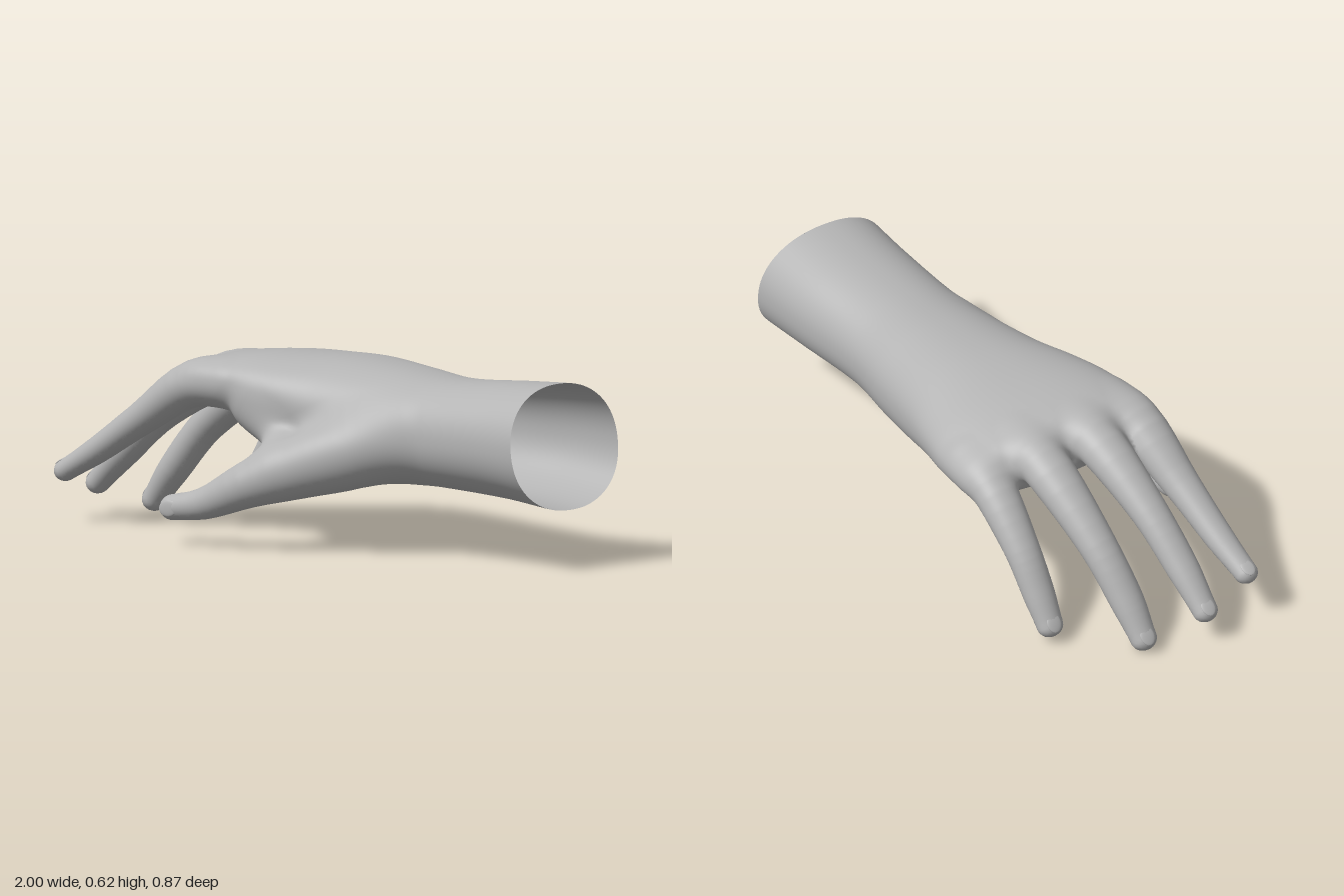
import * as THREE from 'three';

const lerp = THREE.MathUtils.lerp, clamp = THREE.MathUtils.clamp;

// Arm and palm cross-sections: x, centre y, half height, centre z, half width, tilt
const STATIONS = [
  [-0.5, 0.46, 0.085, -0.08, 0.3, 0.14],
  [-0.35, 0.483, 0.11, -0.085, 0.338, 0.13],
  [-0.2, 0.484, 0.13, -0.097, 0.336, 0.11],
  [-0.05, 0.465, 0.154, -0.1, 0.312, 0.07],
  [0.1, 0.435, 0.184, -0.108, 0.28, 0.03],
  [0.3, 0.412, 0.19, -0.115, 0.25, 0.01],
  [0.5, 0.405, 0.18, -0.123, 0.228, 0],
  [0.8, 0.407, 0.193, -0.15, 0.235, 0],
  [1.0, 0.404, 0.207, -0.16, 0.242, 0],
];

// Limbs from root to tip: x, y, z, radius. Width stretches the section sideways.
const LIMBS = [
  { name: 'thumb', blend: 0.07, width: 1, nailSide: [0, -1, 0], joints: [
    [0.42, 0.4, 0.0, 0.1], [0.26, 0.342, 0.095, 0.122], [0.12, 0.288, 0.2, 0.106],
    [-0.03, 0.222, 0.306, 0.078], [-0.19, 0.146, 0.36, 0.053], [-0.312, 0.123, 0.388, 0.043]] },
  { name: 'thumbWeb', blend: 0.06, width: 1, joints: [
    [0.03, 0.275, 0.24, 0.065], [-0.04, 0.36, 0.165, 0.06], [-0.16, 0.44, 0.15, 0.075]] },
  { name: 'indexFinger', blend: 0.035, width: 1.14, nailSide: [0, 0, 1], joints: [
    [-0.28, 0.51, 0.165, 0.07], [-0.41, 0.505, 0.192, 0.076], [-0.62, 0.37, 0.235, 0.055],
    [-0.8, 0.247, 0.27, 0.044], [-0.922, 0.172, 0.295, 0.036]] },
  { name: 'middleFinger', blend: 0.035, width: 1.14, nailSide: [0, 0, 1], joints: [
    [-0.28, 0.52, 0.0, 0.06], [-0.42, 0.52, 0.02, 0.074], [-0.69, 0.368, 0.065, 0.056],
    [-0.85, 0.22, 0.097, 0.049], [-0.958, 0.111, 0.114, 0.038]] },
  { name: 'ringFinger', blend: 0.035, width: 1.14, nailSide: [0, 0, 1], joints: [
    [-0.28, 0.51, -0.185, 0.065], [-0.42, 0.495, -0.178, 0.074], [-0.69, 0.31, -0.135, 0.057],
    [-0.82, 0.15, -0.102, 0.051], [-0.9, 0.041, -0.088, 0.04]] },
  { name: 'littleFinger', blend: 0.035, width: 1.14, nailSide: [0, 0, 1], joints: [
    [-0.24, 0.465, -0.345, 0.06], [-0.37, 0.435, -0.345, 0.066], [-0.55, 0.282, -0.338, 0.053],
    [-0.635, 0.155, -0.328, 0.048], [-0.695, 0.06, -0.322, 0.04]] },
];

// Smooth minimum: joins two shapes with a soft fillet of size k
function smin(a, b, k) {
  const h = Math.max(k - Math.abs(a - b), 0) / k;
  return Math.min(a, b) - h * h * k * 0.25;
}

// Smooth interpolation of the stations along x
function sectionAt(x) {
  const S = STATIONS, last = S.length - 1;
  x = clamp(x, S[0][0], S[last][0]);
  let i = 0;
  while (i < last - 1 && x > S[i + 1][0]) i++;
  const w = S[i + 1][0] - S[i][0], t = (x - S[i][0]) / w, t2 = t * t, t3 = t2 * t;
  const slope = (j, c) => {
    const a = S[Math.max(j - 1, 0)], b = S[Math.min(j + 1, last)];
    return (b[c] - a[c]) / (b[0] - a[0]);
  };
  return [1, 2, 3, 4, 5].map((c) =>
    (2 * t3 - 3 * t2 + 1) * S[i][c] + (t3 - 2 * t2 + t) * w * slope(i, c) +
    (3 * t2 - 2 * t3) * S[i + 1][c] + (t3 - t2) * w * slope(i + 1, c));
}
const PROFILE = Array.from({ length: 802 }, (_, i) => sectionAt(-0.5 + i * 1.5 / 800));

// Distance to the arm and palm, rounded off at the knuckles
function bodyDistance(x, y, z) {
  const u = clamp((x + 0.5) / 1.5, 0, 1) * 800, i = Math.floor(u), f = u - i;
  const A = PROFILE[i], B = PROFILE[i + 1];
  const ry = lerp(A[1], B[1], f), dz = z - lerp(A[2], B[2], f), rz = lerp(A[3], B[3], f);
  const q = Math.abs(dz / rz);
  const w = Math.abs((y - lerp(A[0], B[0], f) - lerp(A[4], B[4], f) * dz) / ry);
  const rho = Math.pow(q ** 2.2 + w ** 2.2, 1 / 2.2);
  const d = rho * (rho - 1) / (Math.hypot(q / rz, w / ry) + 1e-6);
  return -smin(-d, x + 0.43 + 0.12 * z, 0.08);
}

// Each limb becomes a smooth chain of round cones
function buildLimb({ joints, width }) {
  const curve = new THREE.CatmullRomCurve3(joints.map((j) => new THREE.Vector3(j[0], j[1], j[2])));
  const radii = new THREE.SplineCurve(joints.map((j, i) => new THREE.Vector2(i, j[3])));
  const n = 20, chain = [], box = new THREE.Box3();
  for (let i = 0; i <= n; i++) {
    const p = curve.getPoint(i / n);
    chain.push([p.x, p.y, p.z, radii.getPoint(i / n).y]);
    box.expandByPoint(p);
  }
  box.expandByScalar(0.22);
  return { chain, box, curve, width };
}

function limbDistance({ chain, box, width }, x, y, z) {
  if (x < box.min.x || x > box.max.x || y < box.min.y || y > box.max.y ||
      z < box.min.z || z > box.max.z) return 1;
  let best = 1;
  for (let i = 0; i < chain.length - 1; i++) {
    const a = chain[i], b = chain[i + 1];
    const bx = b[0] - a[0], by = b[1] - a[1], bz = (b[2] - a[2]) / width;
    const px = x - a[0], py = y - a[1], pz = (z - a[2]) / width;
    const len = Math.sqrt(bx * bx + by * by + bz * bz), m = (b[3] - a[3]) / len;
    const t = (px * bx + py * by + pz * bz) / len;
    const away = Math.sqrt(Math.max(px * px + py * py + pz * pz - t * t, 0));
    const s = clamp(t + away * m / Math.sqrt(Math.max(1 - m * m, 0.1)), 0, len);
    best = Math.min(best, Math.sqrt(away * away + (t - s) * (t - s)) - a[3] - m * s);
  }
  return best;
}

export function createModel() {
  const group = new THREE.Group();
  group.name = 'hand';
  const skin = new THREE.MeshStandardMaterial({ color: 0xb4b4b4, side: THREE.DoubleSide });
  skin.name = 'skin';
  const limbs = LIMBS.map(buildLimb);

  const field = (x, y, z) => limbs.reduce(
    (d, g, i) => smin(d, limbDistance(g, x, y, z), LIMBS[i].blend), bodyDistance(x, y, z));
  const gradient = (x, y, z, e = 0.006) => new THREE.Vector3(
    field(x + e, y, z) - field(x - e, y, z),
    field(x, y + e, z) - field(x, y - e, z),
    field(x, y, z + e) - field(x, y, z - e)).divideScalar(2 * e);

  // Sample the blended form on a grid whose last layer is the open wrist end
  const h = 0.0125, N = [164, 57, 77], origin = [1 - 163 * h, -0.035, -0.475];
  const stride = [1, N[0], N[0] * N[1]];
  const values = new Float32Array(N[0] * N[1] * N[2]);
  const at = (i, j, k) => i + j * stride[1] + k * stride[2];
  for (let k = 0; k < N[2]; k++) for (let j = 0; j < N[1]; j++) for (let i = 0; i < N[0]; i++) {
    values[at(i, j, k)] = field(origin[0] + i * h, origin[1] + j * h, origin[2] + k * h);
  }

  // One vertex in each grid cell that the skin passes through
  const positions = [], normals = [], owner = [], vertexOf = new Int32Array(values.length).fill(-1);
  const names = ['forearm', 'palm', ...LIMBS.map((d) => d.name)];
  for (let k = 0; k < N[2] - 1; k++) for (let j = 0; j < N[1] - 1; j++) for (let i = 0; i < N[0] - 1; i++) {
    const cell = at(i, j, k), sum = [0, 0, 0];
    let hits = 0;
    for (let c = 0; c < 8; c++) for (let a = 0; a < 3; a++) {
      if (c & (1 << a)) continue;
      const bits = [c & 1, (c >> 1) & 1, c >> 2];
      const n = cell + bits[0] + bits[1] * stride[1] + bits[2] * stride[2];
      const v0 = values[n], v1 = values[n + stride[a]];
      if ((v0 < 0) === (v1 < 0)) continue;
      bits[a] = v0 / (v0 - v1);
      bits.forEach((b, m) => { sum[m] += b; });
      hits++;
    }
    if (!hits) continue;
    const p = new THREE.Vector3(...[i, j, k].map((g, m) => origin[m] + (g + sum[m] / hits) * h));
    for (let step = 0; step < 2; step++) {
      const g = gradient(p.x, p.y, p.z);
      p.addScaledVector(g, -clamp(field(p.x, p.y, p.z) / Math.max(g.lengthSq(), 0.2), -h, h));
    }
    const normal = gradient(p.x, p.y, p.z).normalize();
    let nearest = bodyDistance(p.x, p.y, p.z), part = p.x > 0.4 ? 0 : 1;
    limbs.forEach((g, m) => {
      const d = limbDistance(g, p.x, p.y, p.z);
      if (d < nearest) { nearest = d; part = m + 2; }
    });
    // Slanted cut at the open end
    if (i === N[0] - 2) p.x = 1;
    p.x -= 0.05 * ((p.y - 0.2) / 0.41) * THREE.MathUtils.smoothstep(p.x, 0.5, 1);
    vertexOf[cell] = owner.length;
    owner.push(part);
    positions.push(p.x, p.y, p.z);
    normals.push(normal.x, normal.y, normal.z);
  }

  // Join the four cells around each crossed grid edge, sorted by body part
  const indices = names.map(() => []);
  for (let k = 1; k < N[2] - 1; k++) for (let j = 1; j < N[1] - 1; j++) for (let i = 1; i < N[0] - 1; i++) {
    const n = at(i, j, k);
    for (let a = 0; a < 3; a++) {
      const inside = values[n] < 0;
      if (inside === (values[n + stride[a]] < 0)) continue;
      const b = stride[(a + 1) % 3], c = stride[(a + 2) % 3];
      const q = [n, n - b, n - b - c, n - c].map((cell) => vertexOf[cell]);
      if (q.includes(-1)) continue;
      if (!inside) q.reverse();
      indices[owner[q[0]]].push(q[0], q[1], q[2], q[0], q[2], q[3]);
    }
  }
  const position = new THREE.Float32BufferAttribute(positions, 3);
  const normal = new THREE.Float32BufferAttribute(normals, 3);
  names.forEach((name, m) => {
    const geometry = new THREE.BufferGeometry();
    geometry.setAttribute('position', position);
    geometry.setAttribute('normal', normal);
    geometry.setIndex(indices[m]);
    const mesh = new THREE.Mesh(geometry, skin);
    mesh.name = name;
    group.add(mesh);
  });

  // Nails: thin domes set into the back of each fingertip
  LIMBS.forEach(({ name, nailSide, joints }, m) => {
    if (!nailSide) return;
    const along = limbs[m].curve.getTangent(1), [x, y, z, r] = joints.at(-1);
    const up = along.clone().cross(new THREE.Vector3(...nailSide)).normalize();
    const nail = new THREE.Mesh(new THREE.SphereGeometry(1, 20, 12), skin);
    nail.name = name + 'Nail';
    nail.scale.set(r * 0.85, r * 0.16, r * 0.65);
    nail.quaternion.setFromRotationMatrix(
      new THREE.Matrix4().makeBasis(along, up, along.clone().cross(up)));
    nail.position.set(x, y, z).addScaledVector(up, r * 0.88).addScaledVector(along, -r * 0.15);
    group.add(nail);
  });
  return group;
}
